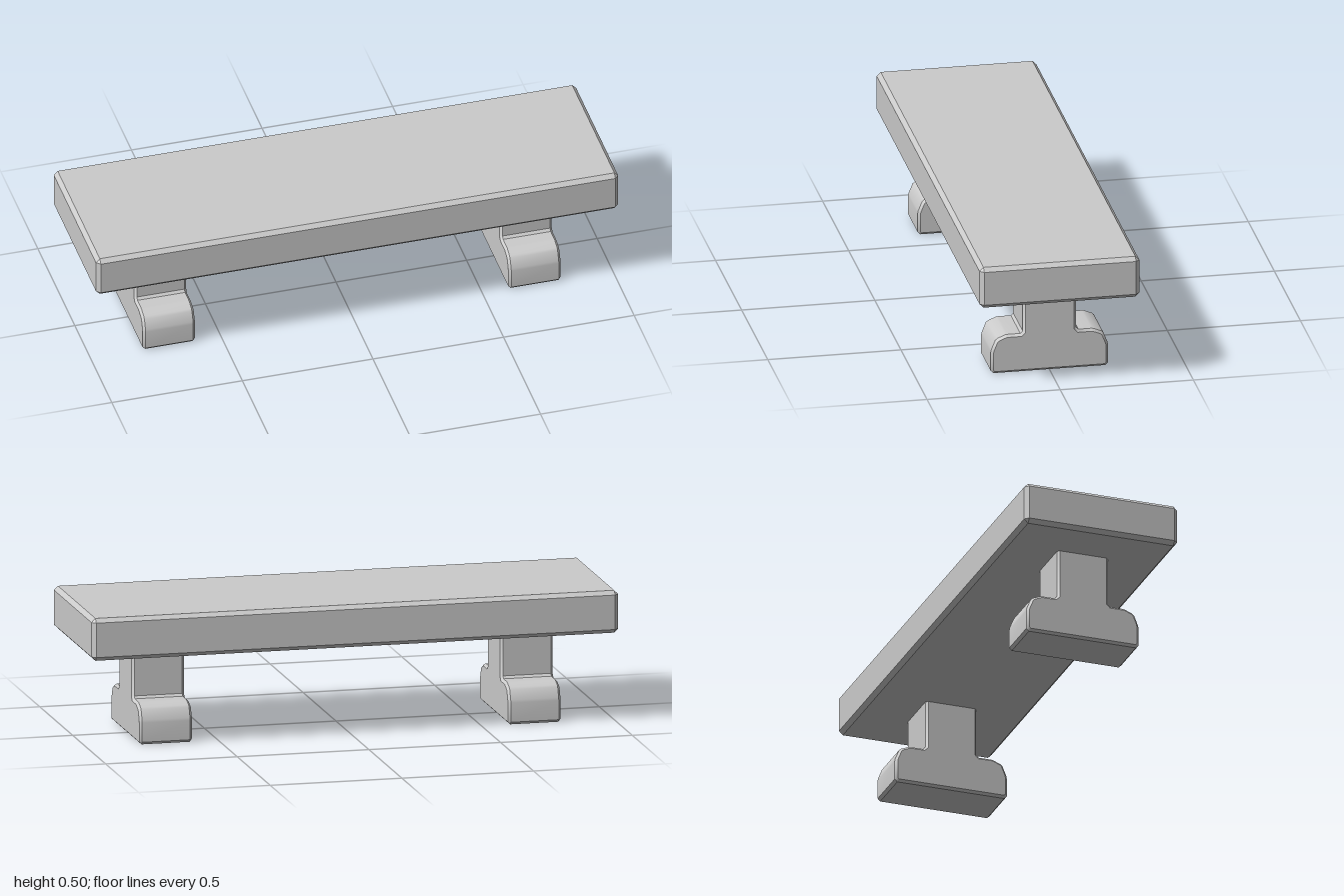
import * as THREE from 'three';
import { toCreasedNormals } from 'three/addons/utils/BufferGeometryUtils.js';
import { ConvexGeometry } from 'three/addons/geometries/ConvexGeometry.js';

// Box with 45-degree chamfers on every edge
function chamferedBox(w, h, d, c) {
  const points = [];
  for (const sx of [-1, 1]) for (const sy of [-1, 1]) for (const sz of [-1, 1]) {
    for (const axis of ['x', 'y', 'z']) {
      const p = new THREE.Vector3(w / 2 - c, h / 2 - c, d / 2 - c);
      p[axis] += c;
      points.push(p.multiply(new THREE.Vector3(sx, sy, sz)));
    }
  }
  return new ConvexGeometry(points);
}

// Inverted-T leg: mirrored side profile, extruded across with a narrow bevel
function legGeometry(width, bevel) {
  const half = [
    [0.21, 0], [0.22, 0.01], [0.22, 0.083], [0.218, 0.093], [0.203, 0.13],
    [0.195, 0.137], [0.165, 0.149], [0.157, 0.15], [0.109, 0.15], [0.1, 0.159], [0.1, 0.4],
  ];
  const mirrored = half.map(([z, y]) => [-z, y]).reverse();
  const shape = new THREE.Shape([...half, ...mirrored].map(([z, y]) => new THREE.Vector2(z, y)));
  const geometry = new THREE.ExtrudeGeometry(shape, {
    depth: width - 2 * bevel,
    bevelThickness: bevel,
    bevelSize: bevel,
    bevelOffset: -bevel,
    bevelSegments: 1,
  });
  geometry.translate(0, 0, bevel - width / 2).rotateY(Math.PI / 2);
  return toCreasedNormals(geometry, 0.6);
}

export function createModel() {
  const group = new THREE.Group();
  const material = new THREE.MeshStandardMaterial({ color: 0xcccccc });

  // Thick seat slab
  const seat = new THREE.Mesh(chamferedBox(2, 0.16, 0.6, 0.015), material);
  seat.name = 'seat';
  seat.position.y = 0.422;
  group.add(seat);

  // Two matching legs, tops sunk into the slab
  const legShape = legGeometry(0.2, 0.009);
  for (const [name, x] of [['leftLeg', 0.7], ['rightLeg', -0.7]]) {
    const leg = new THREE.Mesh(legShape, material);
    leg.name = name;
    leg.position.x = x;
    group.add(leg);
  }
  return group;
}
